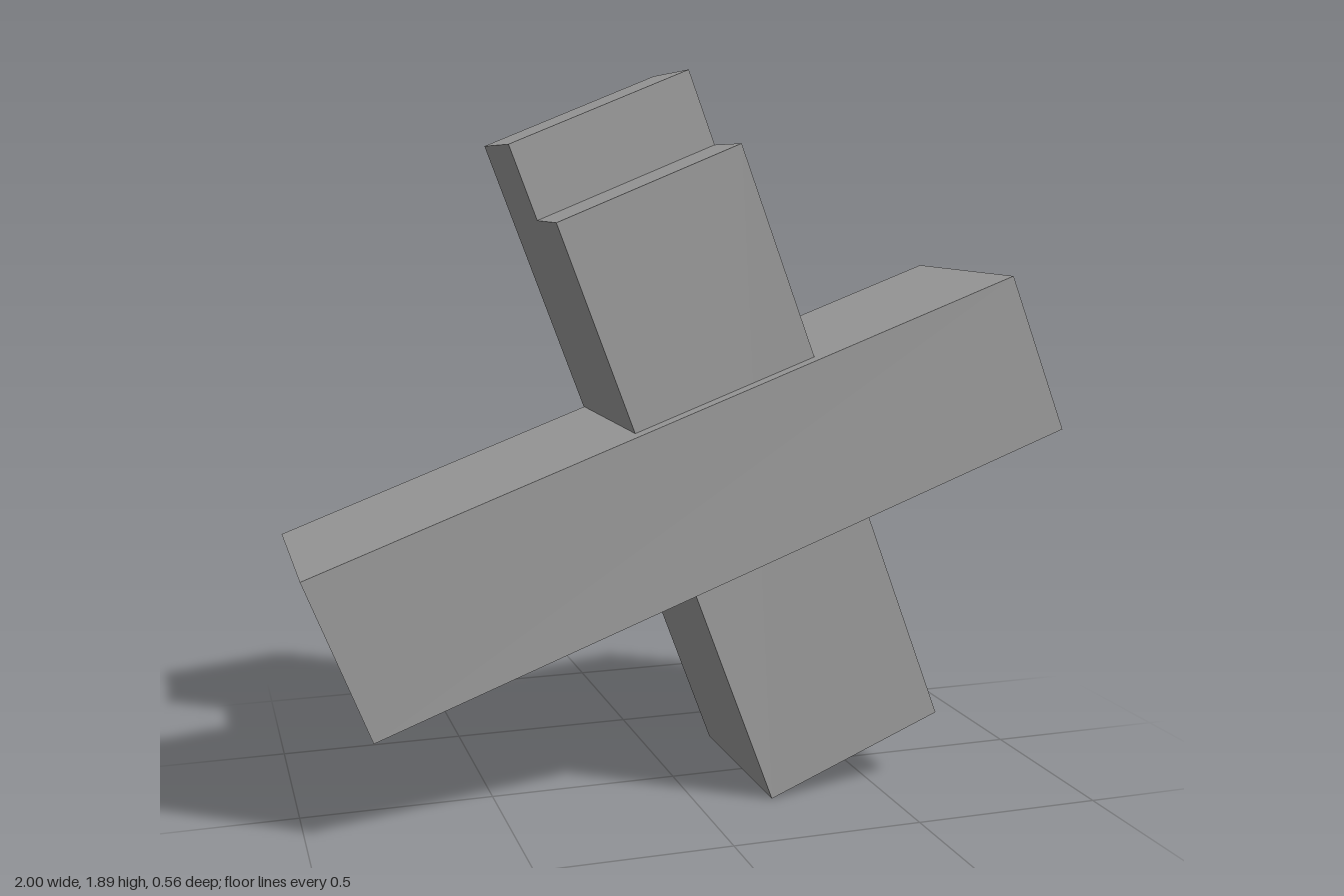
import * as THREE from 'three';

// Extrudes a side profile (fraction along the beam, z) across the beam's width,
// placing it with its start corner, length vector and width vector in the x-y plane.
function beam(name, profile, start, along, across, material) {
  const shape = new THREE.Shape(profile.map(([u, z]) => new THREE.Vector2(u, z)));
  const geometry = new THREE.ExtrudeGeometry(shape, { depth: 1, bevelEnabled: false });
  const matrix = new THREE.Matrix4().makeBasis(
    new THREE.Vector3(...along, 0),
    new THREE.Vector3(0, 0, 1),
    new THREE.Vector3(...across, 0)
  );
  matrix.setPosition(start[0], start[1], 0);
  geometry.applyMatrix4(matrix);
  const mesh = new THREE.Mesh(geometry, material);
  mesh.name = name;
  return mesh;
}

export function createModel() {
  const group = new THREE.Group();
  group.name = 'crossedBeams';
  const grey = new THREE.MeshStandardMaterial({ color: 0xa0a0a0 });
  grey.name = 'grey';

  // Leaning post with a step cut into the front of its top end
  const postProfile = [
    [0, -0.28], [1, -0.28], [1, 0.03], [0.889, 0.03], [0.889, 0.235], [0, 0.235],
  ];
  group.add(beam('post', postProfile, [0.2, 0], [-0.637, 1.7], [0.47, 0.19], grey));

  // Crossbar, slightly proud of the post at the front
  const barProfile = [[0, -0.273], [1, -0.273], [1, 0.28], [0, 0.28]];
  group.add(beam('crossbar', barProfile, [-0.84, 0.275], [-0.16, 0.41], [1.84, 0.68], grey));

  return group;
}
